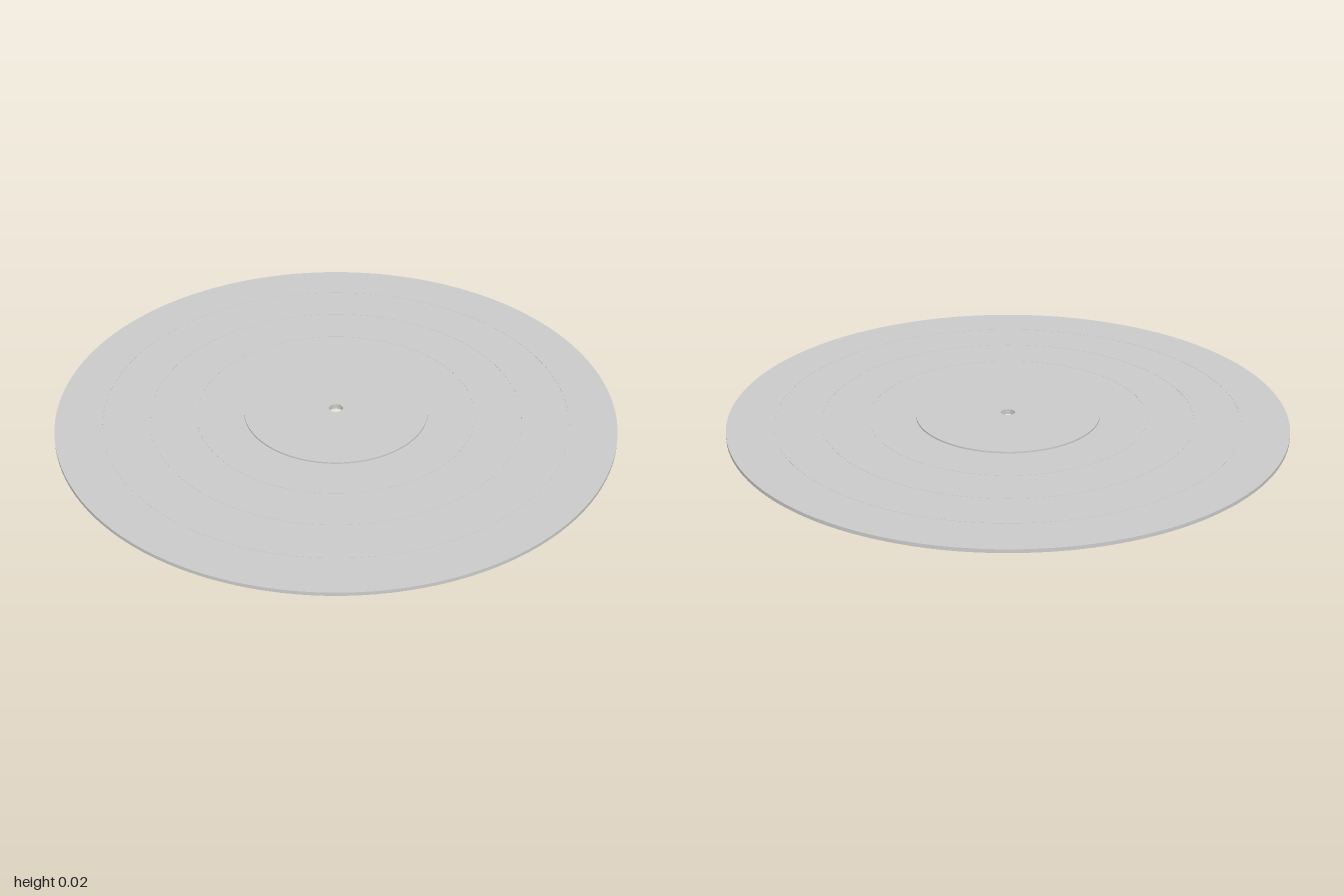
import * as THREE from 'three';
import { toCreasedNormals } from 'three/addons/utils/BufferGeometryUtils.js';

const SEGMENTS = 128;
const HOLE = 0.025;
const DISC_TOP = 0.013;
const LABEL_TOP = 0.019;
const LABEL_RADIUS = 0.33;

// Flat ring with a rectangular section, smooth around and sharp at the rims
function ring(name, inner, outer, bottom, top, material) {
  const profile = [
    [inner, bottom], [outer, bottom], [outer, top], [inner, top], [inner, bottom],
  ].map(([r, y]) => new THREE.Vector2(r, y));
  const geometry = toCreasedNormals(new THREE.LatheGeometry(profile, SEGMENTS), 0.5);
  const mesh = new THREE.Mesh(geometry, material);
  mesh.name = name;
  return mesh;
}

export function createModel() {
  const group = new THREE.Group();
  group.name = 'record';
  const grey = new THREE.MeshStandardMaterial({ color: 0xcccccc });

  // Main disc with the spindle hole
  group.add(ring('disc', HOLE, 1, 0, DISC_TOP, grey));

  // Raised centre label
  group.add(ring('label', HOLE, LABEL_RADIUS, DISC_TOP, LABEL_TOP, grey));

  // Three fine track rings, evenly spaced between label and rim
  const grooves = new THREE.Group();
  grooves.name = 'trackRings';
  for (let i = 1; i <= 3; i++) {
    const r = LABEL_RADIUS + (i * (1 - LABEL_RADIUS)) / 4;
    grooves.add(ring(`trackRing${i}`, r - 0.0015, r + 0.0015, DISC_TOP - 0.001, DISC_TOP + 0.0007, grey));
  }
  group.add(grooves);

  return group;
}
